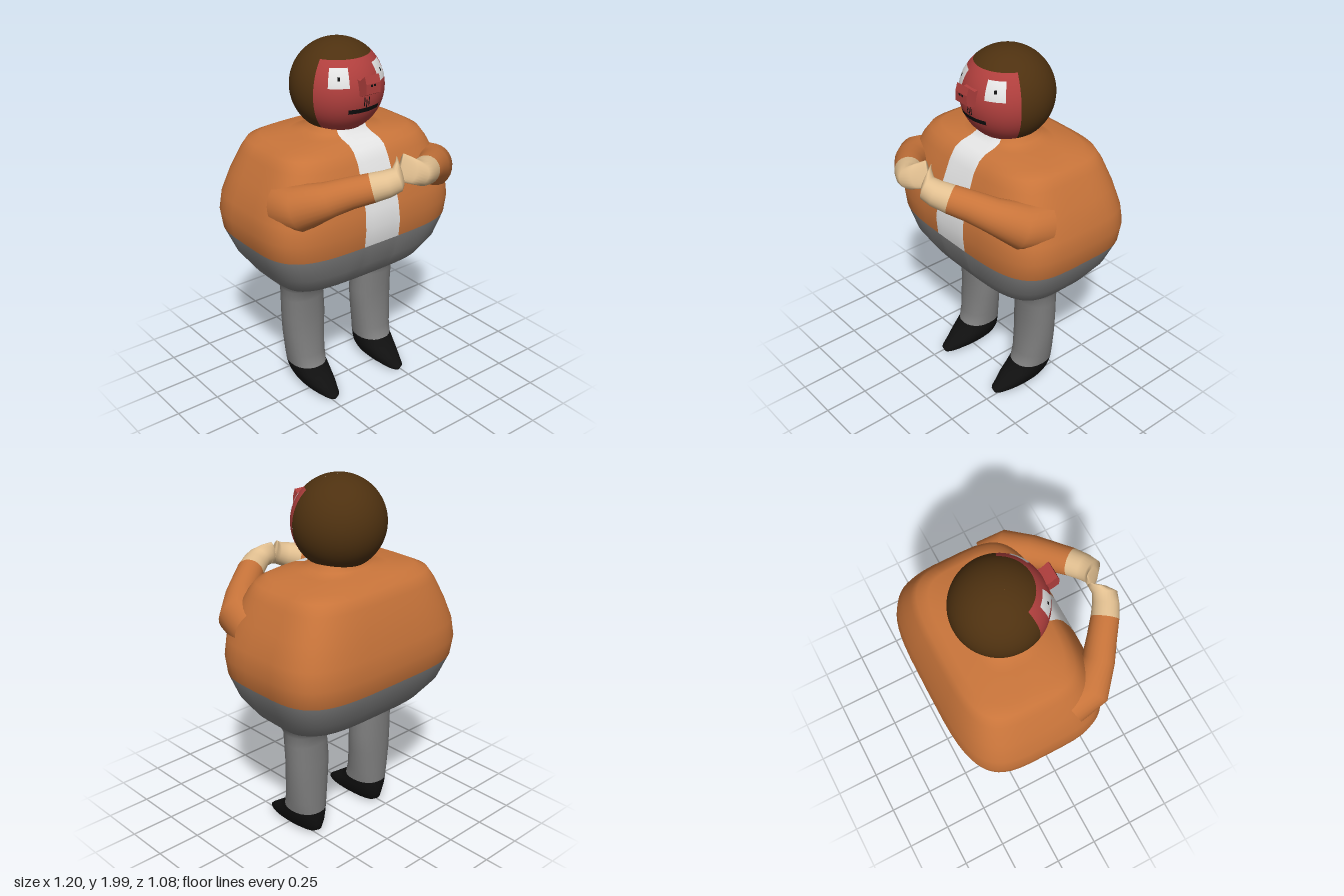
import * as THREE from 'three';

const mat = (name, color) => Object.assign(new THREE.MeshStandardMaterial({ color }), { name });
const V = (x, y, z) => new THREE.Vector3(x, y, z);
const D = Math.PI / 180;

// Closed skin over rows of points; matOf(row, column) picks the material slot.
function skin(name, rows, mats, matOf) {
  const n = rows[0].length, lists = mats.map(() => []);
  for (let i = 0; i < rows.length - 1; i++) for (let j = 0; j < n; j++) {
    const k = (j + 1) % n, a = i * n + j, b = i * n + k, c = a + n, d = b + n;
    lists[matOf(i, j)].push(a, c, b, b, c, d);
  }
  const geo = new THREE.BufferGeometry().setFromPoints(rows.flat());
  geo.setIndex(lists.flat());
  let start = 0;
  lists.forEach((l, m) => { geo.addGroup(start, l.length, m); start += l.length; });
  geo.computeVertexNormals();
  const mesh = new THREE.Mesh(geo, mats);
  mesh.name = name;
  return mesh;
}

// Horizontal superellipse section at height y.
function section(y, cx, half, front, back, n, angles) {
  const zc = (front + back) / 2, rz = (front - back) / 2;
  const pw = v => Math.sign(v) * Math.abs(v) ** (2 / n);
  return angles.map(t => V(cx + half * pw(Math.cos(t)), y, zc + rz * pw(Math.sin(t))));
}

const mirror = rows => rows.map(r => r.map(p => V(-p.x, p.y, p.z)).reverse());

export function createModel() {
  const g = new THREE.Group();
  g.name = 'roundFigure';
  const jacket = mat('orangeJacket', 0xc8743a), shirt = mat('whiteShirt', 0xe4e4e4);
  const trousers = mat('greyTrousers', 0x7e7e7e), shoe = mat('blackShoe', 0x101010);
  const skinTone = mat('paleSkin', 0xe2c091), red = mat('redFace', 0xb03f3d), hair = mat('brownHair', 0x4e3110);

  // Torso: y, half width, front z, back z, squareness, shirt half width
  const torso = [
    [0.69, 0.01, -0.09, -0.11, 2, 0.002],
    [0.68, 0.35, 0.03, -0.24, 3, 0.115],
    [0.70, 0.41, 0.12, -0.32, 3.4, 0.115],
    [0.75, 0.465, 0.19, -0.41, 3.7, 0.115],
    [0.85, 0.535, 0.25, -0.485, 4, 0.115],
    [0.98, 0.588, 0.285, -0.532, 4, 0.115],
    [1.08, 0.6, 0.295, -0.545, 4, 0.115],
    [1.18, 0.588, 0.285, -0.53, 4, 0.11],
    [1.3, 0.54, 0.25, -0.5, 4, 0.105],
    [1.42, 0.48, 0.205, -0.46, 4, 0.1],
    [1.475, 0.445, 0.17, -0.43, 4, 0.1],
    [1.5, 0.39, 0.13, -0.38, 3.8, 0.098],
    [1.515, 0.25, 0.07, -0.29, 3, 0.096],
    [1.53, 0.185, 0.045, -0.255, 2.4, 0.094],
    [1.565, 0.165, 0.03, -0.245, 2.2, 0.092],
  ];
  const front = 6, around = 58;
  const torsoRows = torso.map(([y, half, zf, zb, n, strip]) => {
    const t = Math.acos((strip / half) ** (n / 2)), angles = [];
    for (let j = 0; j < front; j++) angles.push(t + (Math.PI - 2 * t) * j / front);
    for (let j = 0; j < around; j++) angles.push(Math.PI - t + (Math.PI + 2 * t) * j / around);
    return section(y, 0, half, zf, zb, n, angles);
  });
  g.add(skin('torso', torsoRows, [trousers, jacket, shirt], (i, j) => i < 5 ? 0 : j < front ? 2 : 1));

  // Legs and shoes: y, centre x, half width, front z, back z
  const leg = [
    [0.006, 0.235, 0.005, 0.02, -0.02],
    [0.008, 0.235, 0.045, 0.18, -0.17],
    [0.03, 0.235, 0.07, 0.19, -0.2],
    [0.07, 0.235, 0.09, 0.135, -0.208],
    [0.11, 0.238, 0.1, 0.08, -0.21],
    [0.15, 0.24, 0.104, 0.03, -0.21],
    [0.22, 0.242, 0.11, 0.01, -0.21],
    [0.35, 0.243, 0.122, -0.005, -0.21],
    [0.46, 0.242, 0.127, -0.01, -0.21],
    [0.58, 0.248, 0.124, -0.006, -0.207],
    [0.64, 0.25, 0.122, 0.0, -0.21],
    [0.675, 0.25, 0.135, 0.03, -0.235],
    [0.72, 0.25, 0.16, 0.07, -0.27],
  ];
  const ringAngles = Array.from({ length: 24 }, (_, j) => j * Math.PI / 12);
  const legRows = leg.map(([y, cx, half, zf, zb]) => section(y, cx, half, zf, zb, 2.2, ringAngles));

  // Arms and hands: centre, radius up, radius sideways
  const arm = [
    [V(0.46, 1.23, 0.05), 0.125, 0.11],
    [V(0.44, 1.265, 0.18), 0.12, 0.115],
    [V(0.345, 1.325, 0.285), 0.092, 0.086],
    [V(0.26, 1.36, 0.35), 0.082, 0.078],
    [V(0.178, 1.387, 0.413), 0.076, 0.074],
    [V(0.115, 1.405, 0.452), 0.07, 0.07],
    [V(0.066, 1.422, 0.472), 0.062, 0.065],
    [V(0.03, 1.44, 0.45), 0.068, 0.045],
    [V(0.004, 1.452, 0.422), 0.07, 0.015],
    [V(0.002, 1.452, 0.42), 0.001, 0.001],
  ];
  const armRows = arm.map(([c, up, side], i) => {
    // The bend at the hands keeps the sections of the forearm
    const a = arm[Math.min(Math.max(i - 1, 0), 5)][0], b = arm[Math.min(i + 1, 6)][0];
    const T = b.clone().sub(a).normalize();
    const S = T.clone().cross(V(0, 1, 0)).normalize(), U = S.clone().cross(T);
    return ringAngles.map(t => c.clone().addScaledVector(U, up * Math.cos(t)).addScaledVector(S, -side * Math.sin(t)));
  });
  for (const [label, fix] of [['left', r => r], ['right', mirror]]) {
    g.add(skin(label + 'Leg', fix(legRows), [shoe, trousers], i => i < 5 ? 0 : 1));
    g.add(skin(label + 'Arm', fix(armRows), [jacket, skinTone], i => i < 4 ? 0 : 1));
  }

  // Head: patches of one sphere; longitude is measured from the front, + to the model's left
  const head = new THREE.Group();
  head.name = 'head';
  head.position.set(0, 1.75, -0.1);
  g.add(head);
  const patch = (name, m, r, lon0, lon1, th0, th1, ws = 8, hs = 6) => {
    const geo = new THREE.SphereGeometry(r, ws, hs, (90 + lon0) * D, (lon1 - lon0) * D, th0 * D, (th1 - th0) * D);
    const mesh = new THREE.Mesh(geo, m);
    mesh.name = name;
    head.add(mesh);
  };
  patch('face', red, 0.25, -66, 66, 44, 180, 24, 28);
  patch('hairBack', hair, 0.25, 66, 294, 0, 180, 40, 36);
  patch('hairTop', hair, 0.25, -66, 66, 0, 44, 24, 10);
  for (const s of [-1, 1]) {
    const both = (name, m, r, a, b, th0, th1) => patch(name, m, r, Math.min(s * a, s * b), Math.max(s * a, s * b), th0, th1);
    both('eye', shirt, 0.252, 22, 48, 54, 78);
    both('pupil', shoe, 0.2535, 33.3, 36.8, 64.5, 69);
    both('lipLine', shoe, 0.252, 2.6, 4, 91, 102);
  }
  patch('lipLineMiddle', shoe, 0.252, -0.7, 0.7, 94, 104);
  patch('mouth', shoe, 0.252, -23.5, 23.5, 104.5, 110.5, 16, 3);

  // Nose: side outline (z, y) pushed out across x
  const outline = [[0.1, 1.765], [0.16, 1.757], [0.2, 1.777], [0.2, 1.83], [0.187, 1.87], [0.15, 1.838], [0.1, 1.845]];
  const noseGeo = new THREE.ExtrudeGeometry(new THREE.Shape(outline.map(p => new THREE.Vector2(...p))), { depth: 0.09, bevelEnabled: false });
  noseGeo.rotateY(-Math.PI / 2).translate(0.045, 0, 0);
  const nose = new THREE.Mesh(noseGeo, red);
  nose.name = 'nose';
  g.add(nose);
  for (const s of [-1, 1]) {
    const nostril = new THREE.Mesh(new THREE.BoxGeometry(0.011, 0.011, 0.004), shoe);
    nostril.name = 'nostril';
    nostril.position.set(s * 0.01, 1.82, 0.2);
    g.add(nostril);
  }
  return g;
}
